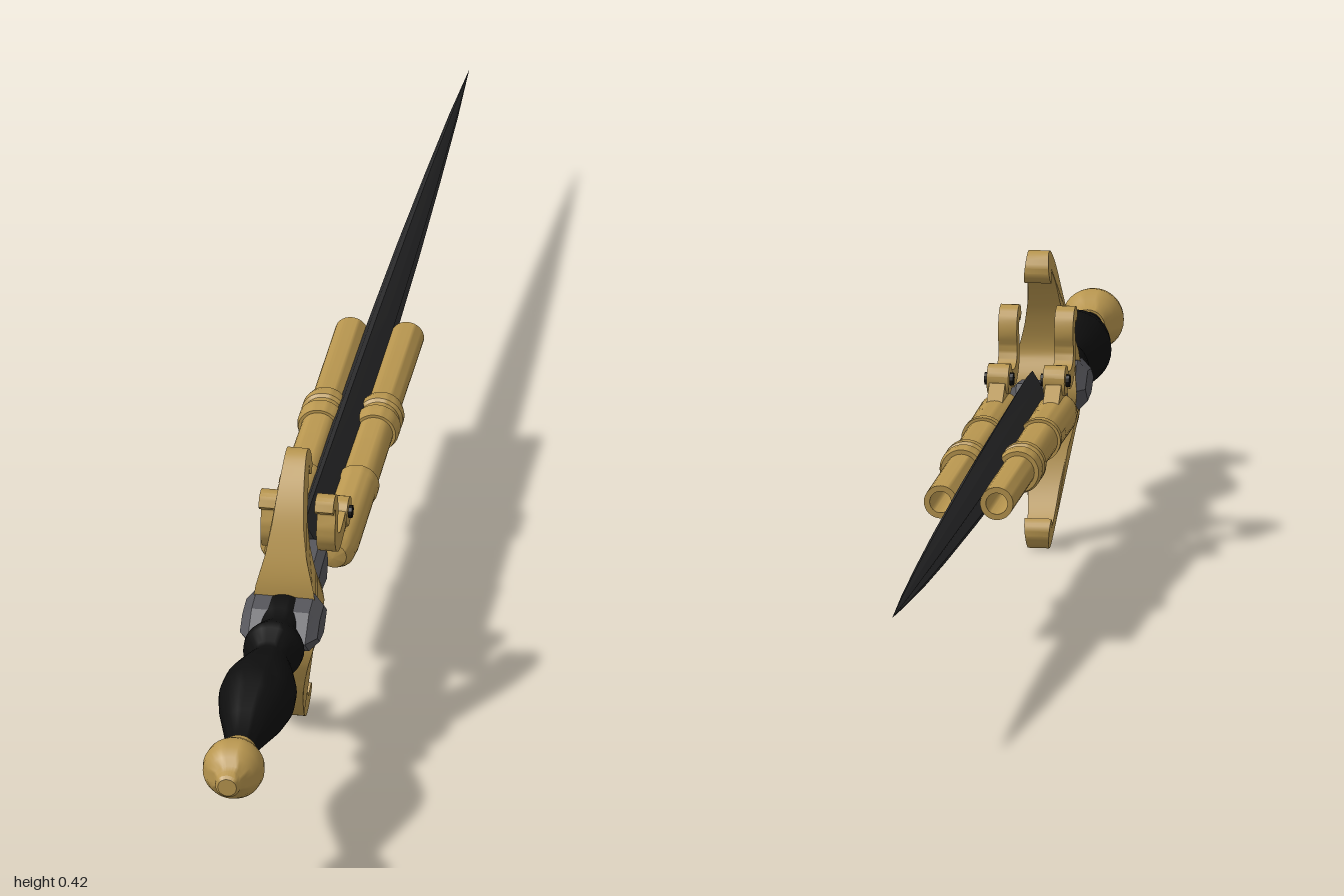
import * as THREE from 'three';
import { toCreasedNormals } from 'three/addons/utils/BufferGeometryUtils.js';

const paint = (color) => new THREE.MeshStandardMaterial({ color });
const brass = paint(0xb8964f);
const black = paint(0x0e0e0e);
const steel = paint(0x2b2b2c);
const grey = paint(0x55555a);

function add(parent, name, geometry, material, crease = 0.6) {
  const mesh = new THREE.Mesh(toCreasedNormals(geometry, crease), material);
  mesh.name = name;
  parent.add(mesh);
  return mesh;
}

// Turned part along z from [z, radius] pairs
function turned(profile, segments = 32) {
  const pts = profile.map(([z, r]) => new THREE.Vector2(r, z));
  return new THREE.LatheGeometry(pts, segments).rotateX(Math.PI / 2);
}

// Side outline in (z, y), extruded symmetrically across x
function sideExtrude(shape, width, bevel = 0) {
  const geo = new THREE.ExtrudeGeometry(shape, {
    depth: width - 2 * bevel, bevelEnabled: bevel > 0, bevelSize: bevel,
    bevelThickness: bevel, bevelOffset: -bevel, bevelSegments: 1,
  });
  return geo.translate(0, 0, -width / 2 + bevel).rotateY(-Math.PI / 2);
}

// Curved bar outline from [z, y, halfThickness] points
function ribbon(points, steps) {
  const curve = new THREE.CatmullRomCurve3(points.map((p) => new THREE.Vector3(...p)));
  const a = [], b = [];
  for (let i = 0; i <= steps; i++) {
    const p = curve.getPoint(i / steps), t = curve.getTangent(i / steps);
    const len = Math.hypot(t.x, t.y);
    const nx = (-t.y / len) * p.z, ny = (t.x / len) * p.z;
    a.push(new THREE.Vector2(p.x + nx, p.y + ny));
    b.unshift(new THREE.Vector2(p.x - nx, p.y - ny));
  }
  return new THREE.Shape([...a, ...b]);
}

const polygon = (pts) => new THREE.Shape(pts.map(([z, y]) => new THREE.Vector2(z, y)));

// Piecewise linear lookup in [key, value] pairs with rising keys
function lookup(table, k) {
  for (let i = 1; i < table.length; i++) {
    const [k0, v0] = table[i - 1], [k1, v1] = table[i];
    if (k <= k1) return v0 + ((v1 - v0) * (k - k0)) / (k1 - k0);
  }
  return table[table.length - 1][1];
}

// Tapering blade with a shallow fuller on each side
function bladeGeometry() {
  const section = [[0.55, 0], [0.95, 0.3], [0.5, 0.7], [0, 1], [-0.5, 0.7], [-0.95, 0.3],
    [-0.55, 0], [-0.95, -0.3], [-0.5, -0.7], [0, -1], [0.5, -0.7], [0.95, -0.3]];
  // z, half thickness, half height
  const rows = [[0.36, 0, 0], [0.36, 0.02, 0.054], [0.3, 0.021, 0.057], [0, 0.021, 0.05],
    [-0.26, 0.02, 0.042], [-0.5, 0.016, 0.033], [-0.7, 0.011, 0.023], [-0.87, 0.006, 0.011], [-1, 0, 0]];
  const n = section.length, pos = [], idx = [];
  for (const [z, w, h] of rows) for (const [x, y] of section) pos.push(x * w, y * h, z);
  for (let i = 0; i < rows.length - 1; i++) {
    for (let j = 0; j < n; j++) {
      const a = i * n + j, b = i * n + ((j + 1) % n), c = a + n, d = b + n;
      idx.push(a, c, b, b, c, d);
    }
  }
  const geo = new THREE.BufferGeometry();
  geo.setAttribute('position', new THREE.Float32BufferAttribute(pos, 3));
  geo.setIndex(idx);
  return geo;
}

// Crescent crossguard, narrowing in x towards its curled tips
function guardGeometry() {
  const arm = [[0.508, 0.05, 0.019], [0.497, 0.1, 0.015], [0.475, 0.148, 0.014],
    [0.445, 0.183, 0.014], [0.422, 0.195, 0.014], [0.412, 0.182, 0.012], [0.42, 0.17, 0.008]];
  const lower = arm.map(([z, y, w]) => [z, -y, w]).reverse();
  const geo = sideExtrude(ribbon([...lower, [0.498, 0, 0.03], ...arm], 72), 2);
  const halfWidth = [[0, 0.046], [0.045, 0.041], [0.09, 0.029], [0.13, 0.022], [0.21, 0.0145]];
  const p = geo.attributes.position;
  for (let i = 0; i < p.count; i++) p.setX(i, p.getX(i) * lookup(halfWidth, Math.abs(p.getY(i))));
  return geo;
}

// Barrel, lock and hammer for one side
function createPistol(side) {
  const pistol = new THREE.Group();
  pistol.name = side > 0 ? 'leftPistol' : 'rightPistol';
  pistol.position.x = side * 0.039;

  const barrel = add(pistol, 'barrel', turned([
    [-0.1, 0], [-0.1, 0.015], [-0.26, 0.015], [-0.26, 0.023], [-0.055, 0.023],
    [-0.055, 0.029], [-0.045, 0.032], [-0.032, 0.032], [-0.028, 0.028], [-0.018, 0.028],
    [-0.014, 0.032], [0, 0.032], [0.01, 0.029], [0.01, 0.025], [0.15, 0.026],
    [0.15, 0.03], [0.165, 0.03], [0.17, 0.028], [0.31, 0.029], [0.335, 0.027], [0.352, 0.018], [0.358, 0],
  ]), brass);
  barrel.position.y = 0.002;

  const hammer = ribbon([[0.43, 0.114, 0.006], [0.421, 0.124, 0.009], [0.407, 0.12, 0.011],
    [0.4, 0.1, 0.011], [0.406, 0.078, 0.012], [0.4, 0.055, 0.013], [0.376, 0.042, 0.013],
    [0.345, 0.046, 0.012], [0.31, 0.055, 0.012]], 36);
  add(pistol, 'hammer', sideExtrude(hammer, 0.026), brass);

  const pivot = add(pistol, 'hammerPivot', new THREE.CylinderGeometry(0.021, 0.021, 0.03, 20).rotateZ(Math.PI / 2), brass);
  pivot.position.set(0, 0.052, 0.312);
  const screw = add(pistol, 'pivotScrew', new THREE.CylinderGeometry(0.009, 0.009, 0.04, 12).rotateZ(Math.PI / 2), black);
  screw.position.copy(pivot.position);

  // Lug joining the pivot to the breech
  const lug = polygon([[0.335, 0.015], [0.335, 0.05], [0.29, 0.05], [0.26, 0.025], [0.26, 0.015]]);
  add(pistol, 'lockLug', sideExtrude(lug, 0.022), brass);
  return pistol;
}

export function createModel() {
  const model = new THREE.Group();
  model.name = 'pistolDagger';
  const dagger = new THREE.Group();
  dagger.name = 'dagger';
  model.add(dagger);

  add(dagger, 'blade', bladeGeometry(), steel, 0.15);
  add(dagger, 'crossguard', guardGeometry(), brass, 0.5);

  // Handle and pommel
  add(dagger, 'grip', turned([
    [0.5, 0], [0.5, 0.034], [0.53, 0.038], [0.56, 0.035], [0.578, 0.029], [0.592, 0.035],
    [0.61, 0.042], [0.625, 0.041], [0.642, 0.029], [0.655, 0.029], [0.69, 0.041], [0.725, 0.051],
    [0.755, 0.053], [0.79, 0.047], [0.84, 0.033], [0.88, 0.022], [0.91, 0.02], [0.91, 0],
  ]), black, 0.9);
  add(dagger, 'pommel', turned([
    [0.895, 0], [0.895, 0.024], [0.905, 0.026], [0.918, 0.034], [0.932, 0.041], [0.945, 0.043],
    [0.958, 0.041], [0.972, 0.033], [0.98, 0.023], [0.986, 0.019], [0.996, 0.017], [1, 0.013], [1, 0],
  ]), brass);

  // Grey fittings in front of and behind the guard
  const block = polygon([[0.595, 0], [0.56, -0.03], [0.515, -0.036], [0.475, 0], [0.515, 0.036], [0.56, 0.03]]);
  add(dagger, 'gripFitting', sideExtrude(block, 0.108, 0.014), grey, 0.2);
  const flare = polygon([[0.48, 0.012], [0.48, -0.012], [0.42, -0.028], [0.365, -0.034], [0.35, 0], [0.365, 0.034], [0.42, 0.028]]);
  add(dagger, 'bladeSocket', sideExtrude(flare, 0.066, 0.01), grey, 0.2);

  for (const side of [-1, 1]) dagger.add(createPistol(side));

  // The whole weapon lies very slightly askew
  dagger.rotation.set(-0.008, -0.019, 0);
  dagger.position.set(0.001, 0.2115, 0);
  return model;
}
